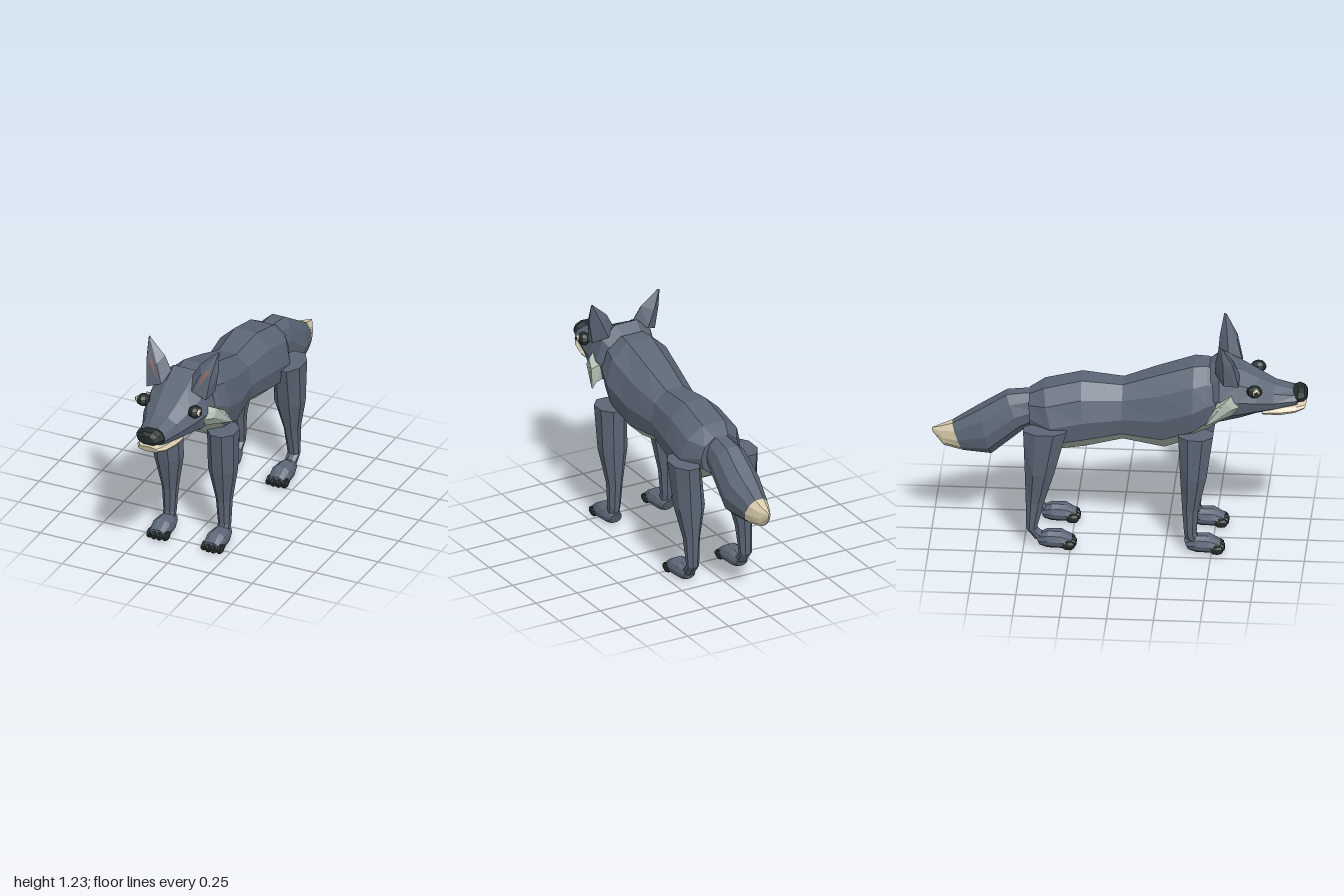
import * as THREE from 'three';

const mat = (name, color) => Object.assign(new THREE.MeshStandardMaterial({ color, flatShading: true }), { name });
const slate = mat('slateFur', 0x5b6675);
const pale = mat('paleFur', 0xabb7ac);
const cream = mat('creamFur', 0xd8ccac);
const dark = mat('darkNose', 0x222c2b);
const pink = mat('innerEar', 0x9c6450);
pink.side = THREE.DoubleSide;

// Closed skin over rings of points; pick(i, j) chooses the material of each panel.
function loft(name, rings, pick) {
  const buckets = new Map();
  let volume = 0;
  const tri = (m, a, b, c) => {
    if (!buckets.has(m)) buckets.set(m, []);
    buckets.get(m).push([a, b, c]);
    volume += a.dot(b.clone().cross(c));
  };
  const n = rings[0].length;
  for (let i = 0; i < rings.length - 1; i++) {
    for (let j = 0; j < n; j++) {
      const k = (j + 1) % n, m = pick(i, j);
      tri(m, rings[i][j], rings[i][k], rings[i + 1][k]);
      tri(m, rings[i][j], rings[i + 1][k], rings[i + 1][j]);
    }
  }
  const last = rings.length - 1;
  for (let j = 1; j < n - 1; j++) {
    tri(pick(0, 0), rings[0][0], rings[0][j + 1], rings[0][j]);
    tri(pick(last - 1, 0), rings[last][0], rings[last][j], rings[last][j + 1]);
  }
  const geo = new THREE.BufferGeometry(), pos = [], mats = [];
  for (const [m, tris] of buckets) {
    geo.addGroup(pos.length / 3, tris.length * 3, mats.length);
    mats.push(m);
    for (const [a, b, c] of tris) for (const p of volume > 0 ? [a, b, c] : [a, c, b]) pos.push(p.x, p.y, p.z);
  }
  geo.setAttribute('position', new THREE.Float32BufferAttribute(pos, 3));
  geo.computeVertexNormals();
  const mesh = new THREE.Mesh(geo, mats.length > 1 ? mats : mats[0]);
  mesh.name = name;
  return mesh;
}

// Ten-sided cross-section, from [z, y] of its top and bottom and its half width.
const half = [[0.36, 1], [0.82, 0.8], [1, 0.48], [0.88, 0.2], [0.4, 0]];
const section = [...half, ...half.map(([x, s]) => [-x, s]).reverse()];
const slice = ([zt, yt, zb, yb, w]) =>
  section.map(([x, s]) => new THREE.Vector3(x * w, yb + (yt - yb) * s, zb + (zt - zb) * s));

// Eight-sided horizontal ring for the legs.
function legRing([y, x0, x1, z0, z1], side) {
  return Array.from({ length: 8 }, (_, i) => {
    const a = (i + 0.5) * Math.PI / 4, r = 1 / Math.cos(Math.PI / 8);
    return new THREE.Vector3(
      side * ((x0 + x1) / 2 + Math.cos(a) * r * (x1 - x0) / 2), y,
      (z0 + z1) / 2 + Math.sin(a) * r * (z1 - z0) / 2);
  });
}

const points = (list, side) => list.map(([x, y, z]) => new THREE.Vector3(side * x, y, z));

function ball(name, m, [x, y, z], [rx, ry, rz], w = 8, h = 6) {
  const mesh = new THREE.Mesh(new THREE.SphereGeometry(1, w, h), m);
  mesh.name = name;
  mesh.position.set(x, y, z);
  mesh.scale.set(rx, ry, rz);
  return mesh;
}

// Leg with paw and four dark toes; pawZ is the front of the toes.
function leg(name, side, rows, pawZ) {
  const g = new THREE.Group();
  g.name = name;
  g.add(loft('limb', rows.map(r => legRing(r, side)), () => slate));
  g.add(loft('paw', [
    [pawZ - 0.225, 0.075, pawZ - 0.2, 0.015, 0.035],
    [pawZ - 0.16, 0.1, pawZ - 0.16, 0.005, 0.052],
    [pawZ - 0.09, 0.1, pawZ - 0.09, 0.005, 0.06],
    [pawZ - 0.03, 0.065, pawZ - 0.03, 0.012, 0.05],
  ].map(r => slice(r).map(p => p.setX(p.x + side * 0.16))), () => slate));
  for (let i = 0; i < 4; i++) {
    const d = i - 1.5;
    g.add(ball('toe', dark, [side * 0.16 + d * 0.031, 0.031, pawZ - 0.038 - Math.abs(d) * 0.008], [0.018, 0.027, 0.04], 6, 5));
  }
  return g;
}

export function createModel() {
  const model = new THREE.Group();

  // Trunk with a paler underside
  model.add(loft('body', [
    [0.56, 1.02, 0.58, 0.75, 0.14],
    [0.47, 1.05, 0.49, 0.70, 0.18],
    [0.40, 1.05, 0.40, 0.63, 0.2],
    [0.20, 0.985, 0.24, 0.57, 0.18],
    [0.02, 0.92, 0.02, 0.605, 0.148],
    [-0.20, 0.94, -0.18, 0.56, 0.178],
    [-0.40, 0.89, -0.32, 0.54, 0.185],
    [-0.48, 0.845, -0.47, 0.63, 0.12],
  ].map(slice), (i, j) => j >= 3 && j <= 5 ? pale : slate));

  // Tail with a cream tip
  model.add(loft('tail', [
    [-0.44, 0.85, -0.44, 0.67, 0.08],
    [-0.60, 0.83, -0.51, 0.63, 0.1],
    [-0.74, 0.74, -0.68, 0.485, 0.11],
    [-0.89, 0.645, -0.83, 0.49, 0.07],
    [-0.955, 0.62, -0.935, 0.51, 0.037],
    [-1.0, 0.605, -0.995, 0.58, 0.006],
  ].map(slice), i => i > 2 ? cream : slate));

  // Head with a pale throat, jaw and nose
  model.add(loft('head', [
    [0.46, 1.03, 0.48, 0.75, 0.14],
    [0.54, 1.09, 0.54, 0.73, 0.18],
    [0.64, 1.04, 0.64, 0.755, 0.175],
    [0.74, 0.988, 0.73, 0.782, 0.15],
    [0.83, 0.94, 0.82, 0.795, 0.112],
    [0.95, 0.91, 0.95, 0.83, 0.082],
  ].map(slice), (i, j) => j === 4 && i < 4 ? pale : slate));
  model.add(loft('jaw', [
    [0.77, 0.825, 0.76, 0.783, 0.105],
    [0.86, 0.84, 0.85, 0.775, 0.103],
    [0.95, 0.84, 0.93, 0.785, 0.085],
    [0.995, 0.838, 0.985, 0.805, 0.058],
  ].map(slice), () => cream));
  model.add(loft('nose', [
    [0.925, 0.918, 0.925, 0.85, 0.066],
    [0.955, 0.928, 0.955, 0.842, 0.084],
    [0.985, 0.92, 0.985, 0.845, 0.068],
    [1.0, 0.9, 1.0, 0.86, 0.042],
  ].map(slice), () => dark));

  for (const side of [1, -1]) {
    const s = side > 0 ? 'left' : 'right';

    // Ear: base, middle and tip rings
    model.add(loft(s + 'Ear', [
      points([[0.175, 0.985, 0.645], [0.19, 1.0, 0.565], [0.12, 1.04, 0.515], [0.055, 1.06, 0.575], [0.09, 1.02, 0.645]], side),
      points([[0.19, 1.12, 0.615], [0.212, 1.13, 0.565], [0.16, 1.13, 0.522], [0.105, 1.15, 0.565], [0.13, 1.12, 0.615]], side),
      points([[0.205, 1.232, 0.555], [0.208, 1.232, 0.55], [0.205, 1.235, 0.542], [0.2, 1.235, 0.55], [0.2, 1.232, 0.555]], side),
    ], () => slate));
    const [a, b, c, d] = points([[0.116, 1.035, 0.645], [0.149, 1.12, 0.6195], [0.165, 1.12, 0.6195], [0.184, 1.165, 0.597]], side);
    const inner = new THREE.BufferGeometry().setFromPoints([a, c, b, b, c, d]);
    inner.computeVertexNormals();
    const innerEar = new THREE.Mesh(inner, pink);
    innerEar.name = s + 'InnerEar';
    model.add(innerEar);

    // Cheek tuft sweeping back and out
    model.add(loft(s + 'CheekTuft', [
      points([[0.15, 0.868, 0.67], [0.165, 0.93, 0.605], [0.15, 0.89, 0.53], [0.145, 0.80, 0.53], [0.145, 0.81, 0.62]], side),
      points([[0.203, 0.865, 0.61], [0.208, 0.91, 0.575], [0.224, 0.875, 0.52], [0.2, 0.795, 0.51], [0.186, 0.813, 0.585]], side),
      points([[0.247, 0.79, 0.478], [0.249, 0.793, 0.474], [0.247, 0.792, 0.47], [0.244, 0.786, 0.471], [0.244, 0.787, 0.476]], side),
    ], () => pale));

    // Eye, iris and pupil
    model.add(ball(s + 'Eye', dark, [side * 0.152, 0.953, 0.728], [0.038, 0.034, 0.043]));
    model.add(ball(s + 'Iris', cream, [side * 0.177, 0.957, 0.737], [0.017, 0.02, 0.021]));
    model.add(ball(s + 'Pupil', dark, [side * 0.188, 0.957, 0.74], [0.009, 0.013, 0.013], 6, 4));

    model.add(leg(s + 'FrontLeg', side, [
      [0.695, 0.09, 0.245, 0.325, 0.51],
      [0.45, 0.085, 0.235, 0.335, 0.475],
      [0.25, 0.118, 0.2, 0.345, 0.43],
      [0.11, 0.128, 0.194, 0.355, 0.42],
      [0.05, 0.13, 0.19, 0.37, 0.45],
    ], 0.58));
    model.add(leg(s + 'HindLeg', side, [
      [0.70, 0.1, 0.25, -0.5, -0.27],
      [0.45, 0.08, 0.235, -0.492, -0.335],
      [0.27, 0.118, 0.2, -0.488, -0.39],
      [0.11, 0.128, 0.194, -0.485, -0.43],
      [0.05, 0.13, 0.19, -0.44, -0.36],
    ], -0.21));
  }
  return model;
}
